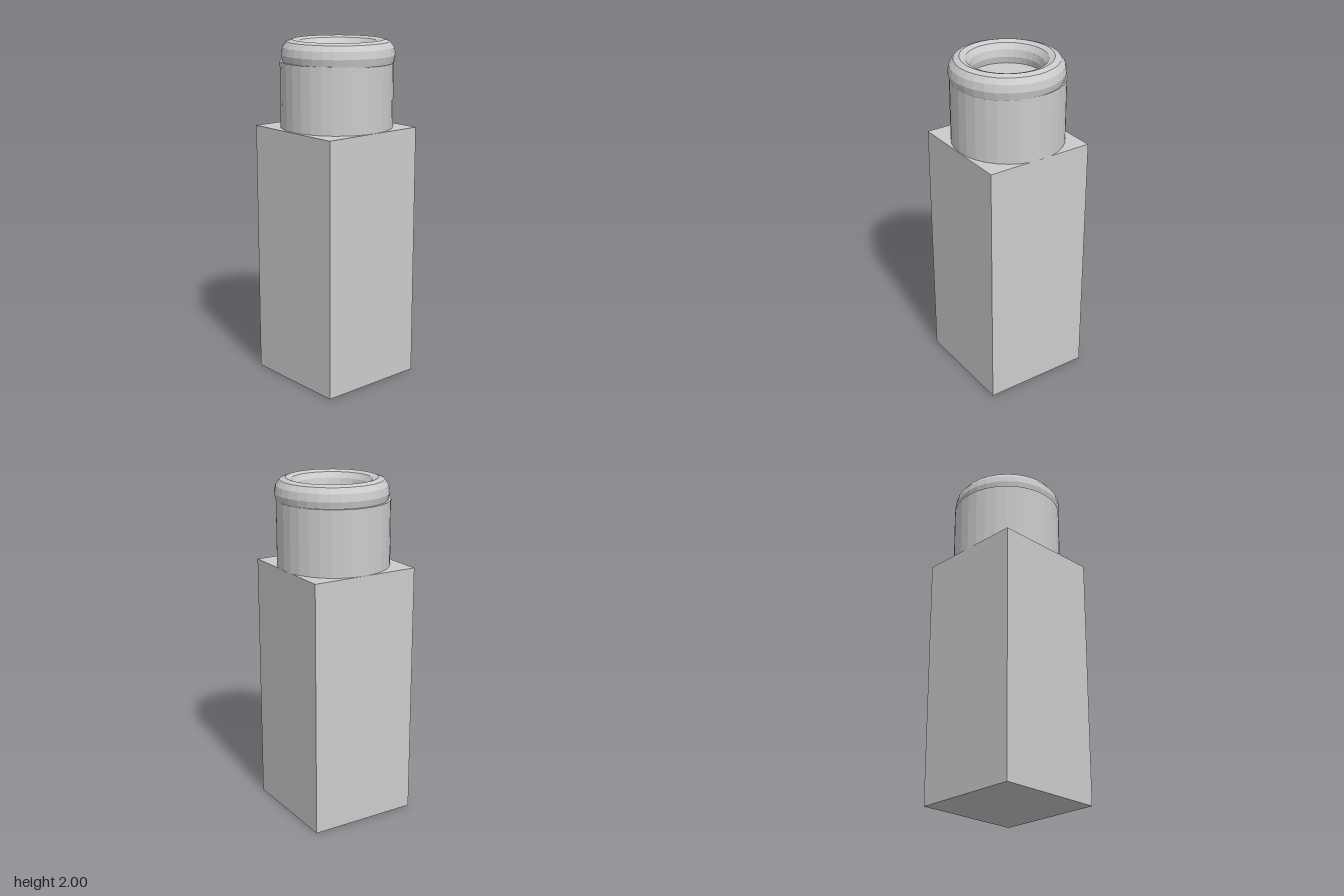
import * as THREE from 'three';

export function createModel() {
  const model = new THREE.Group();
  const material = new THREE.MeshStandardMaterial({ color: 0xcccccc, flatShading: true });

  function addPart(name, geometry, x, y, z) {
    const mesh = new THREE.Mesh(geometry, material);
    mesh.name = name;
    mesh.position.set(x, y, z);
    model.add(mesh);
    return mesh;
  }

  // Tall square body
  addPart('body', new THREE.BoxGeometry(0.654, 1.5, 0.654), -0.005, 0.75, 0.005);

  // Capped round neck, set slightly off the body's centre
  addPart('neck', new THREE.CylinderGeometry(0.325, 0.325, 0.377, 32), -0.006, 1.6885, -0.004);

  // Rim ring, taller than it is thick, sunk into the top of the neck
  const ring = new THREE.TorusGeometry(0.262, 0.065, 12, 32);
  ring.rotateX(-Math.PI / 2);
  ring.scale(1, 1.3, 1);
  addPart('rim', ring, 0.003, 2 - 0.065 * 1.3, -0.008);

  return model;
}
